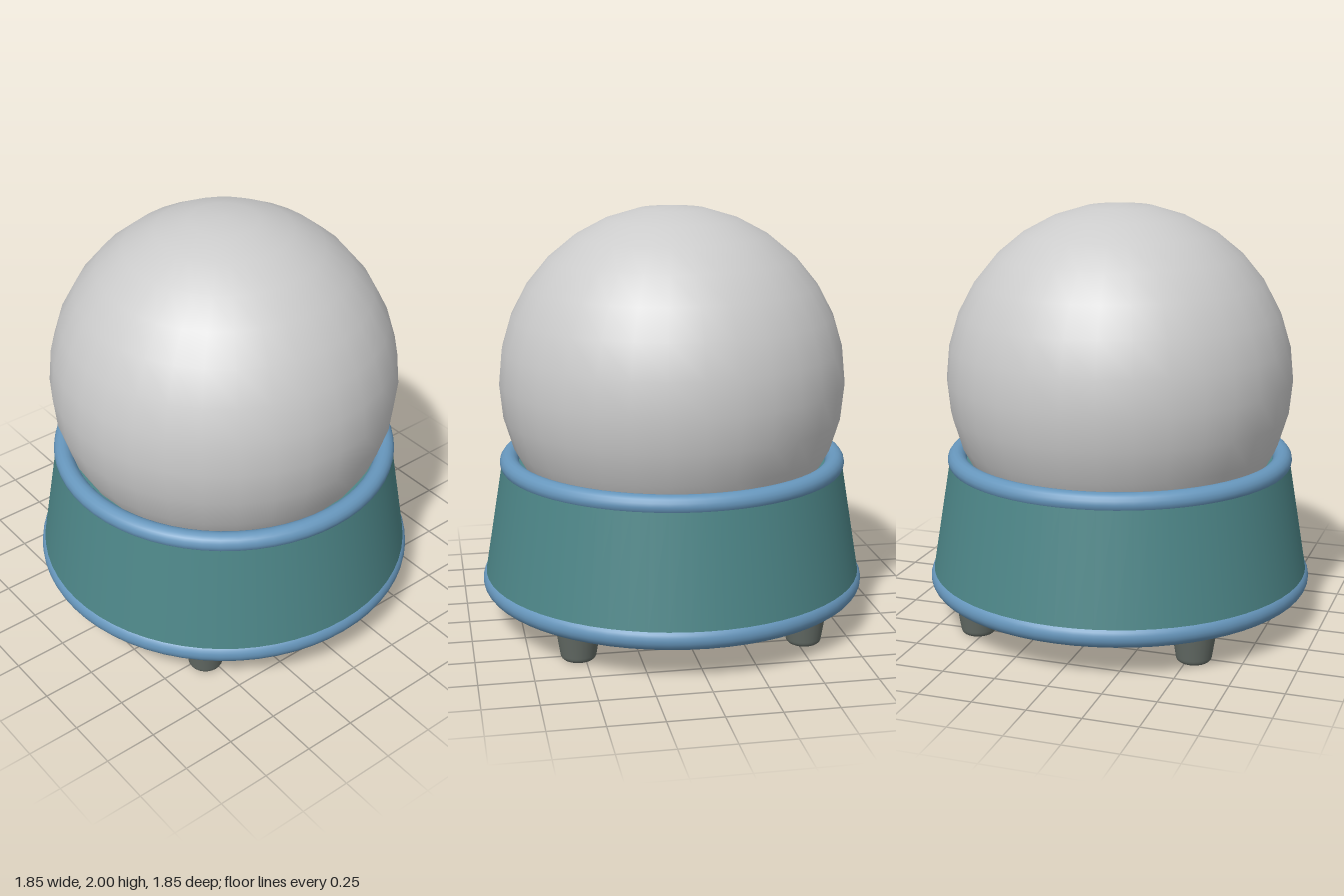
import * as THREE from 'three';

const V = (x, y) => new THREE.Vector2(x, y);
const material = (color) => new THREE.MeshStandardMaterial({ color });

const TEAL = material(0x4d8688);
const BLUE = material(0x6797bd);
const DARK = material(0x646c66);
const GREY = material(0xcccccc);

export function createModel() {
  const model = new THREE.Group();
  model.name = 'snowGlobe';

  const add = (name, geometry, mat, x = 0, y = 0, z = 0) => {
    const mesh = new THREE.Mesh(geometry, mat);
    mesh.name = name;
    mesh.position.set(x, y, z);
    model.add(mesh);
    return mesh;
  };

  // Glass ball, its lower part sunk into the base
  add('globe', new THREE.SphereGeometry(0.825, 32, 16), GREY, 0, 1.175, 0);

  // Tapered base with a closed top inside the rim
  add('base', new THREE.CylinderGeometry(0.82, 0.91, 0.54, 64), TEAL, 0, 0.51, 0);

  // Rounded rim holding the ball
  const rim = new THREE.TorusGeometry(0.785, 0.046, 16, 64).rotateX(Math.PI / 2);
  add('topRim', rim, BLUE, 0, 0.784, 0);

  // Rounded bottom plate: flat underside, half-round edge, flat top
  const plate = [V(0, 0.15), V(0.8, 0.15)];
  for (let i = 0; i <= 12; i++) {
    const a = -Math.PI / 2 + (Math.PI * i) / 12;
    plate.push(V(0.87 + 0.055 * Math.cos(a), 0.205 + 0.055 * Math.sin(a)));
  }
  plate.push(V(0.8, 0.26), V(0, 0.26));
  add('bottomPlate', new THREE.LatheGeometry(plate, 64), BLUE);

  // Four tapered feet with rounded lower edges
  const foot = [V(0, 0), V(0.052, 0)];
  for (let i = 0; i <= 5; i++) {
    const a = -Math.PI / 2 + (Math.PI / 2) * (i / 5);
    foot.push(V(0.055 + 0.028 * Math.cos(a), 0.028 + 0.028 * Math.sin(a)));
  }
  foot.push(V(0.106, 0.17));
  const footGeometry = new THREE.LatheGeometry(foot, 24);
  for (const x of [-1, 1]) {
    for (const z of [-1, 1]) {
      const name = (z > 0 ? 'front' : 'back') + (x > 0 ? 'Left' : 'Right') + 'Foot';
      add(name, footGeometry, DARK, 0.53 * x, 0, 0.53 * z);
    }
  }

  return model;
}
